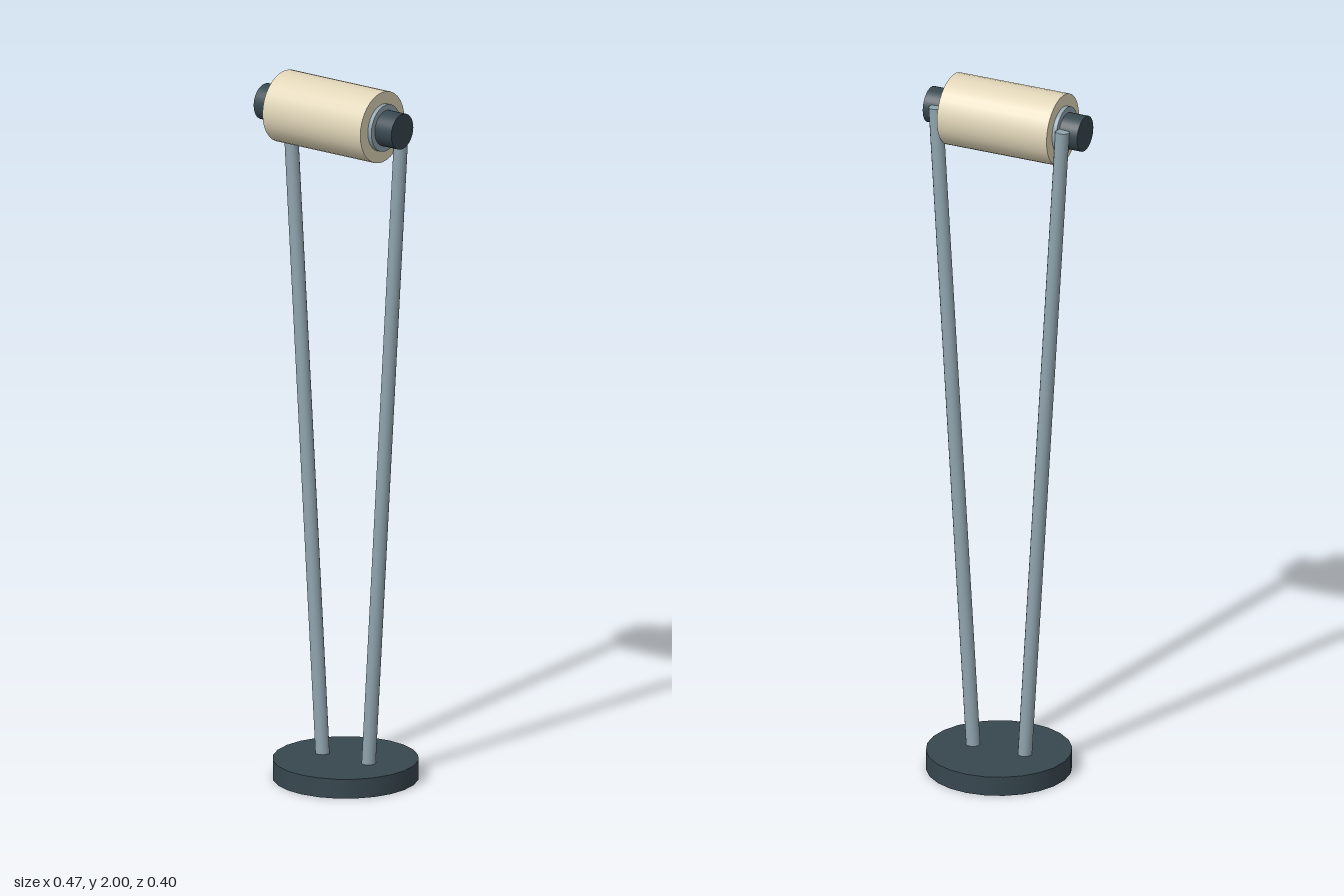
import * as THREE from 'three';

export function createModel() {
  const group = new THREE.Group();
  const material = (name, color) => {
    const m = new THREE.MeshStandardMaterial({ color });
    m.name = name;
    return m;
  };
  const charcoal = material('charcoal', 0x37474f);
  const steel = material('steel blue', 0x90a4ae);
  const cream = material('cream', 0xe0d5b8);

  const add = (name, geometry, mat) => {
    const mesh = new THREE.Mesh(geometry, mat);
    mesh.name = name;
    group.add(mesh);
    return mesh;
  };

  // Round foot
  add('base', new THREE.CylinderGeometry(0.2, 0.2, 0.055, 24), charcoal).position.y = 0.0275;

  // Two splayed poles rising from the base to the roller ends
  const up = new THREE.Vector3(0, 1, 0);
  for (const [label, side] of [['left', 1], ['right', -1]]) {
    const foot = new THREE.Vector3(side * 0.078, 0.04, 0);
    const head = new THREE.Vector3(side * 0.193, 1.92, 0);
    const span = head.clone().sub(foot);
    const pole = add(label + 'Pole', new THREE.CylinderGeometry(0.0195, 0.0195, span.length(), 16), steel);
    pole.position.copy(foot).add(head).multiplyScalar(0.5);
    pole.quaternion.setFromUnitVectors(up, span.normalize());
  }

  // Horizontal roller in front of the poles: drum, collars and end knobs
  const barrel = (name, radius, from, to, mat) => {
    const geometry = new THREE.CylinderGeometry(radius, radius, to - from, 32);
    geometry.rotateZ(Math.PI / 2);
    add(name, geometry, mat).position.set((from + to) / 2, 1.9, 0.055);
  };
  barrel('roller', 0.1, -0.167, 0.167, cream);
  barrel('leftCollar', 0.066, 0.16, 0.179, steel);
  barrel('rightCollar', 0.066, -0.179, -0.16, steel);
  barrel('leftKnob', 0.05, 0.17, 0.235, charcoal);
  barrel('rightKnob', 0.05, -0.235, -0.17, charcoal);

  return group;
}
